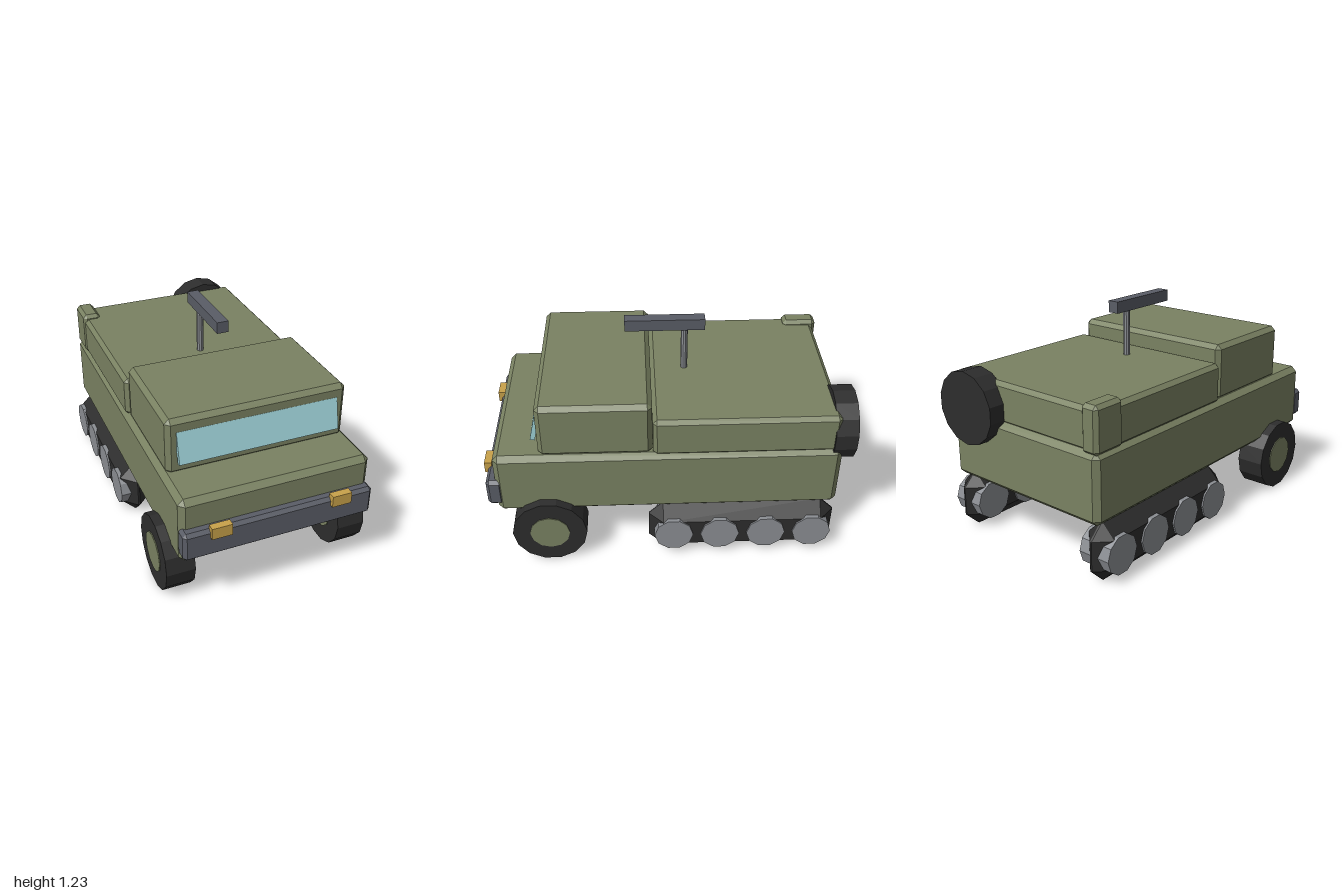
import * as THREE from 'three';
import { ConvexGeometry } from 'three/addons/geometries/ConvexGeometry.js';

const material = (name, color) => {
  const m = new THREE.MeshStandardMaterial({ color, flatShading: true });
  m.name = name;
  return m;
};

// Box given by its min and max corners, with flat chamfers on every edge
function chamferBox(min, max, b) {
  const half = max.map((v, i) => (v - min[i]) / 2);
  const mid = max.map((v, i) => (v + min[i]) / 2);
  const points = [];
  for (const sx of [-1, 1]) for (const sy of [-1, 1]) for (const sz of [-1, 1]) {
    for (let axis = 0; axis < 3; axis++) {
      const p = [sx, sy, sz].map((s, i) => mid[i] + s * (half[i] - (i === axis ? 0 : b)));
      points.push(new THREE.Vector3(...p));
    }
  }
  return new ConvexGeometry(points);
}

function plainBox(min, max) {
  const g = new THREE.BoxGeometry(...max.map((v, i) => v - min[i]));
  return g.translate(...max.map((v, i) => (v + min[i]) / 2));
}

// Disc with its axle along x
const wheel = (r, width, sides) =>
  new THREE.CylinderGeometry(r, r, width, sides).rotateZ(Math.PI / 2);

export function createModel() {
  const group = new THREE.Group();
  group.name = 'halfTrackTruck';
  const olive = material('olive paint', 0x7a8262);
  const rubber = material('black rubber', 0x2d2d2d);
  const steel = material('light steel', 0x8b8e93);
  const gunmetal = material('gunmetal', 0x5a5d66);
  const glass = material('pale glass', 0x9fd3d9);
  const amber = material('amber lamp', 0xc9a24a);

  const add = (name, geometry, mat, x = 0, y = 0, z = 0) => {
    const mesh = new THREE.Mesh(geometry, mat);
    mesh.name = name;
    mesh.position.set(x, y, z);
    group.add(mesh);
    return mesh;
  };

  // Bodywork
  add('hull', chamferBox([-0.52, 0.325, -0.935], [0.52, 0.705, 0.93], 0.03), olive);
  add('cab', chamferBox([-0.493, 0.69, 0.08], [0.493, 1.006, 0.685], 0.025), olive);
  add('rearCompartment', chamferBox([-0.51, 0.69, -0.91], [0.51, 0.915, 0.078], 0.022), olive);
  add('fuelCan', chamferBox([-0.518, 0.69, -0.93], [-0.415, 0.94, -0.735], 0.02), olive);
  add('bumper', chamferBox([-0.52, 0.38, 0.89], [0.52, 0.543, 0.98], 0.018), gunmetal);

  // Sloping windscreen
  const screen = add('windscreen', new THREE.BoxGeometry(0.88, 0.172, 0.026), glass, 0, 0.85, 0.693);
  screen.rotation.x = -0.23;

  // Roof weapon
  add('mountPost', new THREE.CylinderGeometry(0.019, 0.019, 0.28, 10), steel, 0, 1.04, -0.11);
  add('roofGun', plainBox([-0.032, 1.17, -0.22], [0.032, 1.234, 0.215]), gunmetal);

  // Spare tyre on the tail
  const spare = new THREE.CylinderGeometry(0.2, 0.2, 0.12, 14).rotateX(Math.PI / 2);
  add('spareTyre', spare, rubber, 0.33, 0.76, -0.94);

  for (const [side, s] of [['left', 1], ['right', -1]]) {
    add(side + 'Headlamp', plainBox([-0.054, -0.032, -0.02], [0.054, 0.032, 0.02]), amber, s * 0.328, 0.532, 0.98);

    // Front wheel and hub
    add(side + 'FrontTyre', wheel(0.206, 0.158, 14), rubber, s * 0.492, 0.21, 0.655);
    add(side + 'FrontHub', wheel(0.11, 0.168, 12), olive, s * 0.492, 0.21, 0.655);

    // Track with four road wheels passing through it
    const cx = s * 0.473;
    add(side + 'Track', chamferBox([cx - 0.085, 0.003, -0.935], [cx + 0.085, 0.325, 0.105], 0.08), rubber);
    for (let i = 0; i < 4; i++) {
      add(side + 'RoadWheel' + (i + 1), wheel(0.108, 0.188, 10), steel, cx, 0.157, -0.033 - i * 0.258);
    }
  }
  return group;
}
